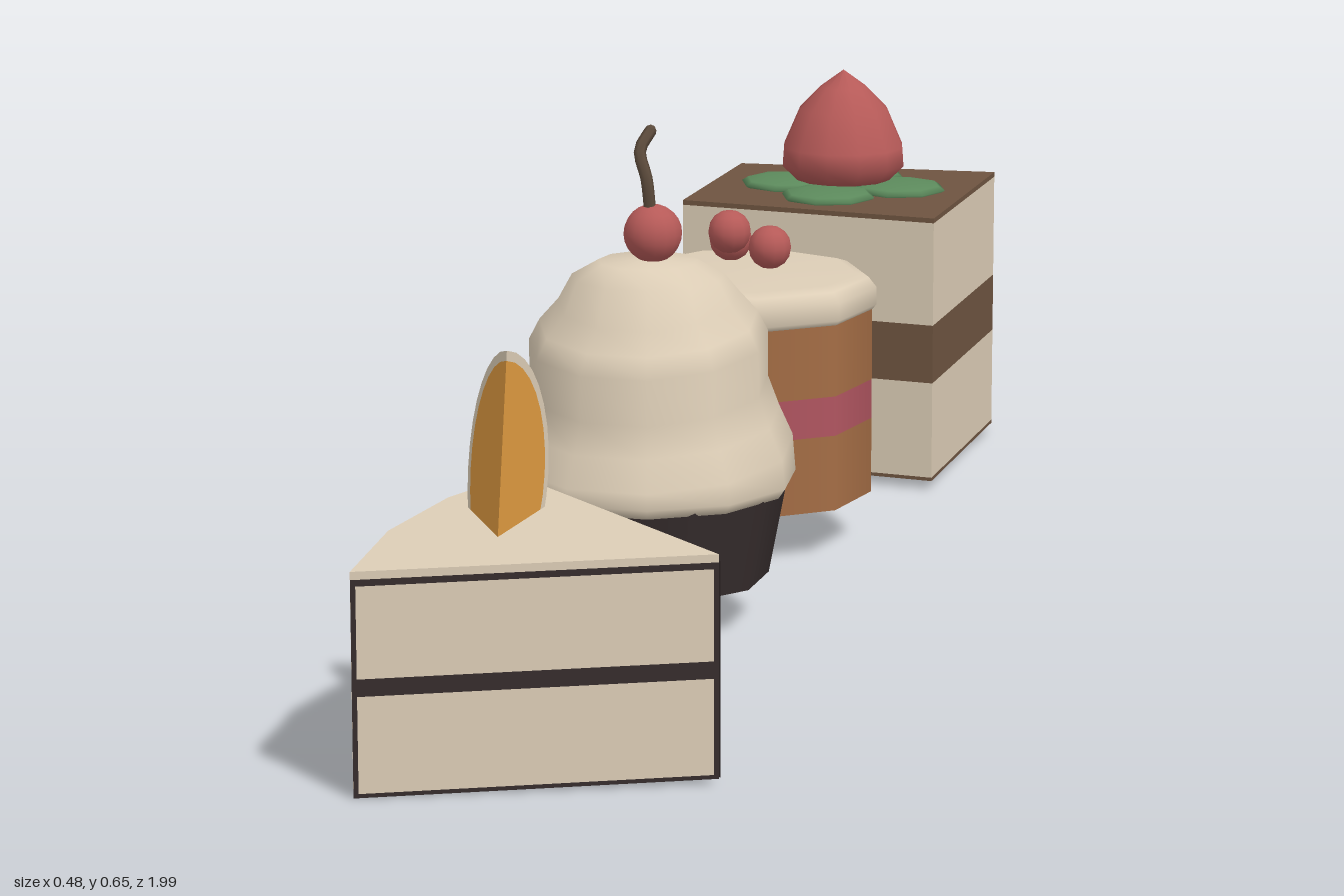
import * as THREE from 'three';

const colour = (name, hex) => {
  const m = new THREE.MeshStandardMaterial({ color: hex });
  m.name = name;
  return m;
};

export function createModel() {
  const root = new THREE.Group();
  root.name = 'cakes';
  const cream = colour('cream', 0xdccdb6);
  const brown = colour('chocolateBrown', 0x6e5440);
  const dark = colour('darkChocolate', 0x362d2d);
  const caramel = colour('caramelSponge', 0xa46d45);
  const pink = colour('pinkJam', 0xb05560);
  const red = colour('berryRed', 0xb65a58);
  const green = colour('leafGreen', 0x5c8a5c);
  const orange = colour('orange', 0xdf9a40);
  const stemBrown = colour('stemBrown', 0x5c4b3c);
  dark.side = orange.side = cream.side = THREE.DoubleSide;

  const group = (name, x = 0, z = 0) => {
    const g = new THREE.Group();
    g.name = name;
    g.position.set(x, 0, z);
    root.add(g);
    return g;
  };
  const add = (parent, name, geo, mat, x = 0, y = 0, z = 0) => {
    const m = new THREE.Mesh(geo, mat);
    m.name = name;
    m.position.set(x, y, z);
    parent.add(m);
    return m;
  };
  const lathe = (pts, sides) =>
    new THREE.LatheGeometry(pts.map(p => new THREE.Vector2(...p)), sides, Math.PI);
  // Upright prism from plan points [x, z]
  const prism = (plan, height) => {
    const shape = new THREE.Shape(plan.map(([x, z]) => new THREE.Vector2(x, -z)));
    return new THREE.ExtrudeGeometry(shape, { depth: height, bevelEnabled: false }).rotateX(-Math.PI / 2);
  };

  // Square layer cake, slightly tapered in plan
  const square = group('squareCake');
  const plan = [[-0.24, -0.965], [-0.24, -0.655], [0.145, -0.62], [0.145, -1]];
  const layers = [
    ['base', 0.015, 0.02, brown], ['lowerCream', 0.02, 0.16, cream], ['filling', 0.16, 0.245, brown],
    ['upperCream', 0.245, 0.395, cream], ['topGlaze', 0.395, 0.402, brown],
  ];
  for (const [name, y0, y1, mat] of layers) add(square, name, prism(plan, y1 - y0), mat, 0, y0, 0);

  // Strawberry on four leaves
  const berry = group('strawberryTopping', -0.042, -0.818);
  add(berry, 'strawberry', lathe([[0, 0.41], [0.07, 0.416], [0.092, 0.438], [0.09, 0.465],
    [0.066, 0.52], [0.034, 0.553], [0, 0.578]], 12), red);
  for (let i = 0; i < 4; i++) {
    const a = i * Math.PI / 2;
    const leaf = add(berry, 'leaf', new THREE.SphereGeometry(1, 8, 6), green,
      Math.cos(a) * 0.085, 0.405, Math.sin(a) * 0.085);
    leaf.scale.set(0.07, 0.012, 0.07);
    leaf.rotation.y = -a;
  }

  // Round cake with nine sides
  const round = group('roundCake', -0.04, -0.297);
  const ring = (name, y0, y1, r, mat) => add(round, name,
    new THREE.CylinderGeometry(r, r, y1 - y0, 9, 1, false, Math.PI), mat, 0, (y0 + y1) / 2, 0);
  ring('lowerSponge', 0.07, 0.175, 0.173, caramel);
  ring('jamBand', 0.175, 0.23, 0.173, pink);
  ring('upperSponge', 0.23, 0.335, 0.173, caramel);
  add(round, 'creamCap', lathe([[0, 0.328], [0.172, 0.328], [0.179, 0.336], [0.179, 0.36],
    [0.168, 0.374], [0.15, 0.38], [0, 0.382]], 9), cream);
  for (const [x, y, z] of [[-0.037, 0.413, -0.045], [-0.02, 0.437, 0.02], [0.037, 0.418, 0.018]])
    add(round, 'berry', new THREE.SphereGeometry(0.03, 12, 8), red, x, y, z);

  // Cupcake: cup, swirled frosting and cherry
  const cup = group('cupcake', -0.047, 0.147);
  add(cup, 'cup', new THREE.CylinderGeometry(0.182, 0.157, 0.13, 10, 1, false, Math.PI), dark, 0, 0.128, 0);
  const swirl = lathe([[0, 0.182], [0.185, 0.182], [0.194, 0.195], [0.19, 0.235], [0.172, 0.275],
    [0.157, 0.315], [0.157, 0.375], [0.143, 0.402], [0.118, 0.43], [0.1, 0.46], [0.065, 0.48], [0, 0.486]], 11);
  const p = swirl.attributes.position;
  for (let i = 0; i < p.count; i++) {
    const y = p.getY(i), r = Math.hypot(p.getX(i), p.getZ(i));
    if (y > 0.2 && y < 0.45) p.setY(i, y - 0.02 * p.getZ(i) / r);
  }
  swirl.computeVertexNormals();
  add(cup, 'frosting', swirl, cream);
  add(cup, 'cherry', new THREE.SphereGeometry(0.038, 16, 12), red, 0.009, 0.518, 0.008);
  const stem = new THREE.CatmullRomCurve3([[0.007, 0.545, 0.012], [0.003, 0.59, 0.015],
    [-0.008, 0.625, 0.008], [0, 0.648, -0.013]].map(v => new THREE.Vector3(...v)));
  add(cup, 'cherryStem', new THREE.TubeGeometry(stem, 10, 0.008, 6), stemBrown);
  add(cup, 'stemTip', new THREE.SphereGeometry(0.008, 6, 4), stemBrown, 0, 0.648, -0.013);

  // Cake slice, leaning slightly towards the front
  const slice = group('cakeSlice');
  const lean = geo => {
    const q = geo.attributes.position;
    for (let i = 0; i < q.count; i++) q.setY(i, q.getY(i) + 0.003 + (0.985 - q.getZ(i)) * 0.035);
    geo.computeVertexNormals();
    return geo;
  };
  const tip = [0.243, 0.815], front = [-0.148, 0.988], back = [-0.092, 0.555];
  add(slice, 'sliceBody', lean(prism([tip, back, [-0.14, 0.67], [-0.162, 0.82], front], 0.271)), cream);
  // Dark lines on a cut face: u runs along the face, y upwards
  const line = (a, b, u0, u1, y0, y1) => {
    const dx = b[0] - a[0], dz = b[1] - a[1], len = Math.hypot(dx, dz);
    const geo = new THREE.PlaneGeometry((u1 - u0) * len, y1 - y0);
    geo.translate(((u0 + u1) / 2) * len, (y0 + y1) / 2, 0.0025);
    geo.rotateY(-Math.atan2(dz, dx)).translate(a[0], 0, a[1]);
    add(slice, 'chocolateLine', lean(geo), dark);
  };
  for (const [a, b] of [[front, tip], [tip, back]]) {
    line(a, b, 0, 1, 0.122, 0.143);
    line(a, b, 0, 1, 0.254, 0.262);
    line(a, b, 0, 1, 0, 0.005);
    line(a, b, 0, 0.014, 0.005, 0.254);
    line(a, b, 0.986, 1, 0.005, 0.254);
  }

  // Orange wedge: part of a sphere closed by two cut faces with pith rims
  const wedge = group('orangeWedge', -0.028, 0.8);
  wedge.position.y = 0.349;
  wedge.rotation.x = -0.18;
  wedge.scale.set(1, 1.08, 1);
  const R = 0.138, start = -96 * Math.PI / 180, span = 41 * Math.PI / 180;
  add(wedge, 'peel', new THREE.SphereGeometry(R, 6, 16, start, span), orange);
  for (const phi of [start, start + span]) {
    const pulp = add(wedge, 'pulp', new THREE.CircleGeometry(R * 0.92, 16, -Math.PI / 2, Math.PI), orange);
    const pith = add(wedge, 'pith', new THREE.RingGeometry(R * 0.92, R, 16, 1, -Math.PI / 2, Math.PI), cream);
    pulp.rotation.y = pith.rotation.y = Math.PI + phi;
  }
  return root;
}
